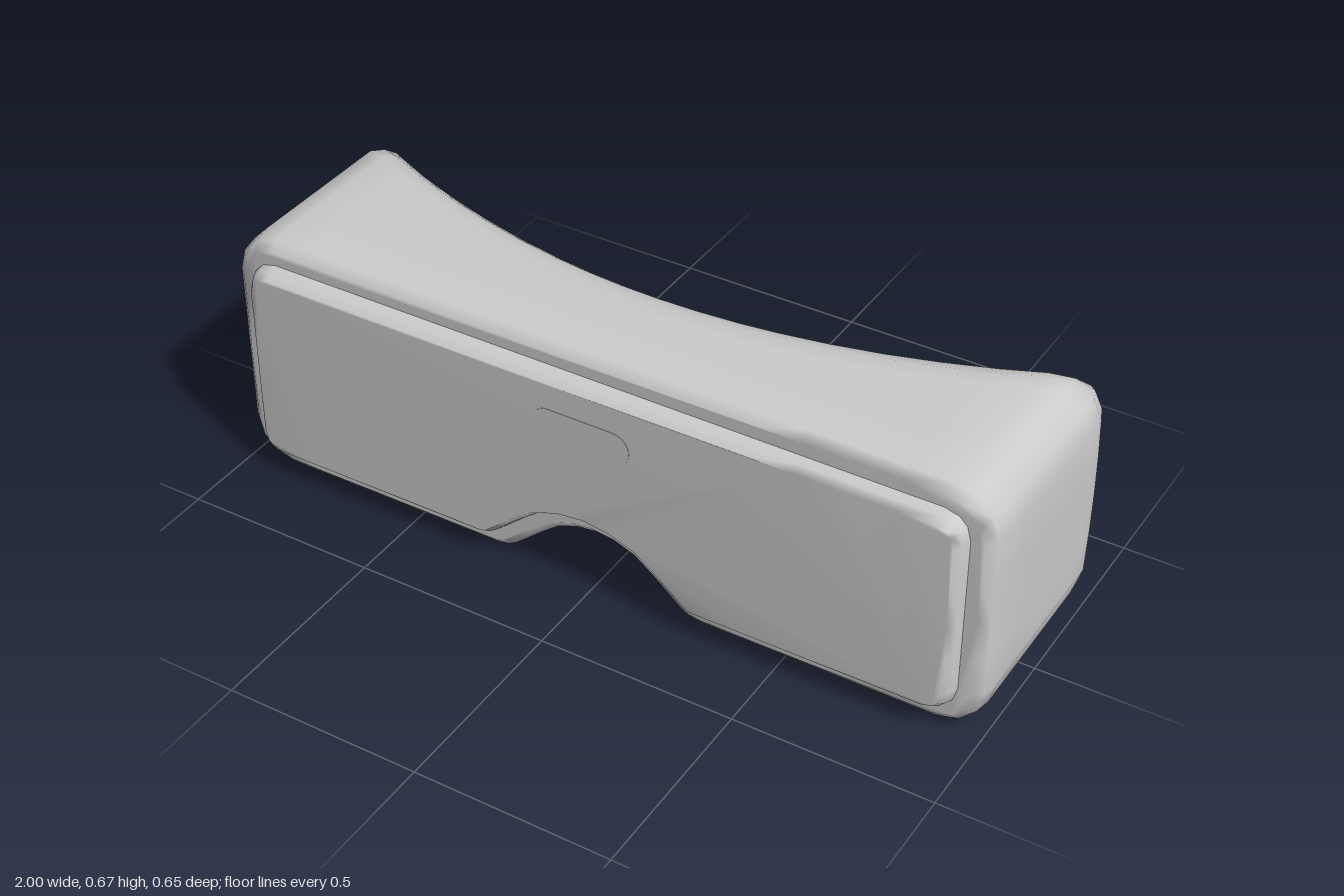
import * as THREE from 'three';

// Half of the outline, from the nose notch along the bottom and round to the top centre
function halfOutline() {
  const pts = [[0, 0.147], [0.05, 0.141], [0.1, 0.122], [0.15, 0.083], [0.19, 0.048], [0.222, 0.021], [0.248, 0.006], [0.285, 0]];
  for (const x of [0.42, 0.54, 0.66, 0.78]) pts.push([x, 0]);
  const R = 0.12, H = 0.665, N = 3;
  const corner = (cx, cy, start) => {
    for (let i = 0; i <= N; i++) {
      const a = start + (i / N) * Math.PI / 2;
      pts.push([cx + R * Math.cos(a), cy + R * Math.sin(a)]);
    }
  };
  corner(1 - R, R, -Math.PI / 2);
  for (const y of [0.23, 0.333, 0.436]) pts.push([1, y]);
  corner(1 - R, H - R, 0);
  for (const x of [0.78, 0.66, 0.54, 0.42, 0.3, 0.2, 0.1, 0]) pts.push([x, H]);
  return pts;
}

// Whole outline, counter-clockwise seen from the front
function fullOutline() {
  const half = halfOutline();
  const mirrored = half.slice(1, -1).reverse().map(([x, y]) => [-x, y]);
  return [...half, ...mirrored].map(([x, y]) => new THREE.Vector2(x, y));
}

// Move every outline point inwards by d, keeping the edges parallel
function inset(outline, d) {
  const n = outline.length;
  const normal = (a, b) => new THREE.Vector2(a.y - b.y, b.x - a.x).normalize();
  return outline.map((p, i) => {
    const n1 = normal(outline[(i + n - 1) % n], p);
    const n2 = normal(p, outline[(i + 1) % n]);
    const m = n1.clone().add(n2).normalize();
    return p.clone().addScaledVector(m, d / m.dot(n1));
  });
}

// Smooth skin with a flat front face, through loops ordered from front to back.
// Each loop is [inset, z(outline point, loop point), pull towards the middle line]
function loft(outline, loops) {
  const n = outline.length, pos = [];
  for (const [d, z, pull = 0] of loops) {
    inset(outline, d).forEach((p, j) => {
      p.lerp(new THREE.Vector2(THREE.MathUtils.clamp(p.x, -0.62, 0.62), 0.37), pull);
      pos.push(p.x, p.y, z(outline[j], p));
    });
  }
  const index = THREE.ShapeUtils.triangulateShape(inset(outline, loops[0][0]), []).flat();
  for (let i = 0; i < loops.length - 1; i++) {
    for (let j = 0; j < n; j++) {
      const a = i * n + j, b = i * n + (j + 1) % n;
      index.push(a, a + n, b, b, a + n, b + n);
    }
  }
  const g = new THREE.BufferGeometry();
  g.setAttribute('position', new THREE.Float32BufferAttribute(pos, 3));
  g.setIndex(index);
  g.computeVertexNormals();
  return g;
}

export function createModel() {
  const model = new THREE.Group();
  model.name = 'headset';
  const grey = new THREE.MeshStandardMaterial({ color: 0xcccccc });
  grey.name = 'light grey plastic';
  const add = (name, geometry) => {
    const mesh = new THREE.Mesh(geometry, grey);
    mesh.name = name;
    model.add(mesh);
    return mesh;
  };
  const outline = fullOutline();
  const at = (z) => () => z;

  // Back rim curves round the face and bulges at the temples
  const rim = (offset) => (o) => {
    const bulge = 0.03 * (1 - ((o.y - 0.333) / 0.333) ** 2);
    return -0.04 - (0.255 + bulge) * o.x * o.x + offset;
  };
  // Cavity floor follows the same curve more gently
  const floor = (offset) => (o, p) => 0.14 - 0.12 * p.x * p.x + offset;

  // Shell: bevelled front, side walls, rounded rim and a hollow with a soft floor
  add('shell', loft(outline, [
    [0.03, at(0.282)], [0.008, at(0.262)], [0, at(0.215)], [0, at(0.15)],
    [0, rim(0.12)], [0, rim(0.075)], [0.018, rim(0.03)], [0.042, rim(0)],
    [0.068, rim(0.008)], [0.092, rim(0.032)], [0.105, rim(0.075)],
    [0.108, floor(-0.08)], [0.108, floor(-0.035), 0.08], [0.108, floor(-0.008), 0.24],
    [0.108, floor(0), 0.45], [0.108, floor(0), 1],
  ]));

  // Raised front plate with a soft edge
  add('frontPlate', loft(outline, [
    [0.083, at(0.324)], [0.07, at(0.305)], [0.063, at(0.285)], [0.063, at(0.27)],
  ]));

  // Pill-shaped sensor window, almost flush with the plate
  const r = 0.043, w = 0.085;
  const pill = new THREE.Shape();
  pill.absarc(w, 0, r, -Math.PI / 2, Math.PI / 2, false);
  pill.absarc(-w, 0, r, Math.PI / 2, Math.PI * 1.5, false);
  const sensor = add('sensorWindow', new THREE.ExtrudeGeometry(pill, { depth: 0.004, bevelEnabled: false, curveSegments: 8 }));
  sensor.position.set(0, 0.47, 0.3212);

  return model;
}
